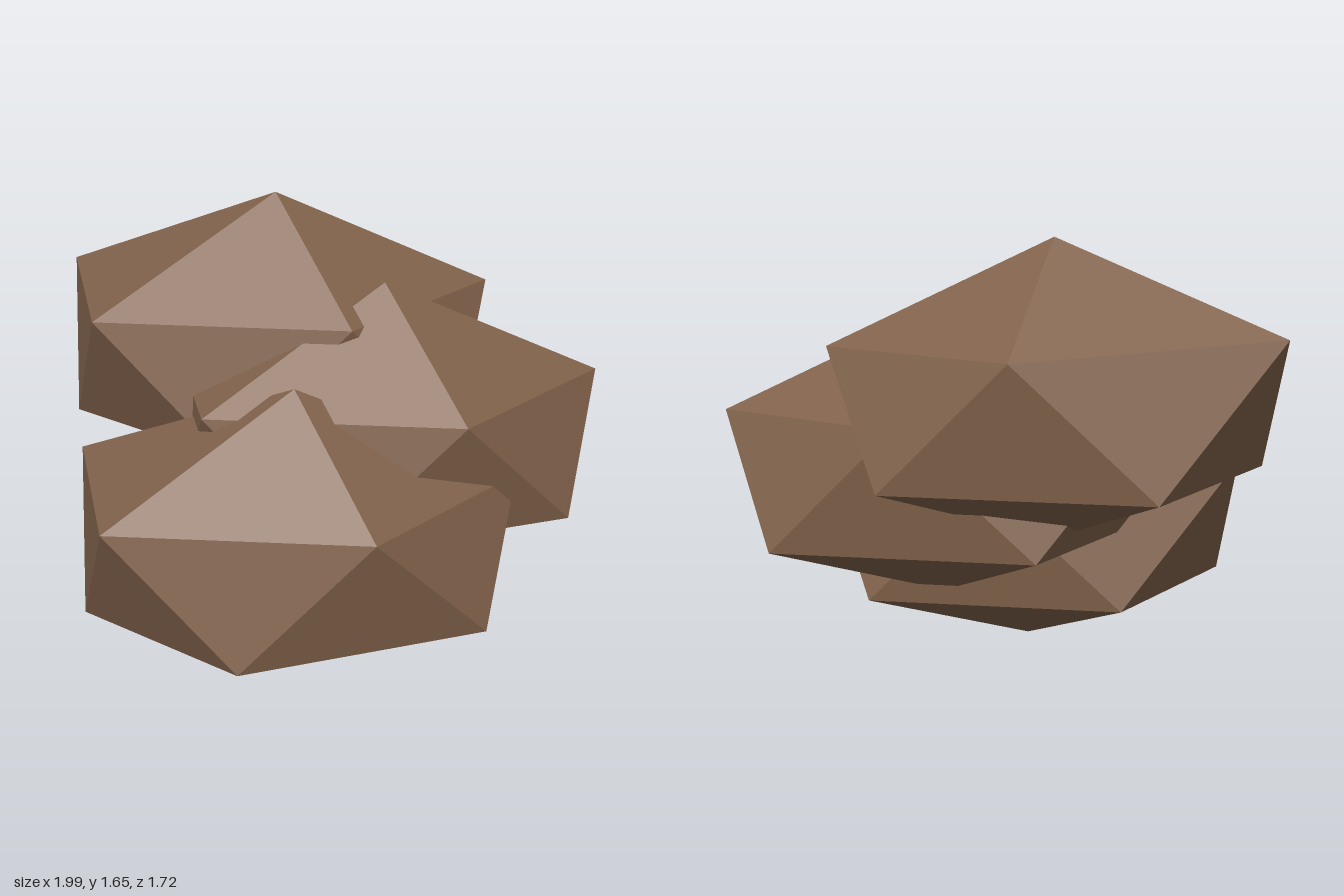
import * as THREE from 'three';

// Squashed, slightly irregular twenty-sided boulder: two poles and two staggered rings of five
function boulderGeometry() {
  const top = [0, 0.555, 0], bottom = [0, -0.555, 0];
  const upper = [[0.825, 0.17, 0], [0.23, 0.16, 0.49], [-0.71, 0.18, 0.33], [-0.775, 0.21, -0.365], [0.23, 0.155, -0.49]];
  const lower = [[0.665, -0.31, 0.31], [-0.26, -0.305, 0.51], [-0.79, -0.3, 0], [-0.28, -0.33, -0.56], [0.67, -0.315, -0.33]];
  const points = [];
  for (let i = 0; i < 5; i++) {
    const j = (i + 1) % 5;
    points.push(
      ...top, ...upper[j], ...upper[i],
      ...upper[i], ...upper[j], ...lower[i],
      ...lower[i], ...upper[j], ...lower[j],
      ...bottom, ...lower[i], ...lower[j]
    );
  }
  const geometry = new THREE.BufferGeometry();
  geometry.setAttribute('position', new THREE.Float32BufferAttribute(points, 3));
  geometry.computeVertexNormals();
  return geometry;
}

export function createModel() {
  const group = new THREE.Group();
  group.name = 'boulderPile';
  const brown = new THREE.MeshStandardMaterial({ color: 0x80614a, flatShading: true });
  brown.name = 'brown stone';
  const geometry = boulderGeometry();

  // Three overlapping boulders stepping up towards the back
  const boulders = [
    ['frontBoulder', -0.21, 0.56, 0.35],
    ['middleBoulder', 0.165, 0.835, 0.02],
    ['backBoulder', -0.21, 1.105, -0.3],
  ];
  for (const [name, x, y, z] of boulders) {
    const mesh = new THREE.Mesh(geometry, brown);
    mesh.name = name;
    mesh.position.set(x, y, z);
    group.add(mesh);
  }
  return group;
}
